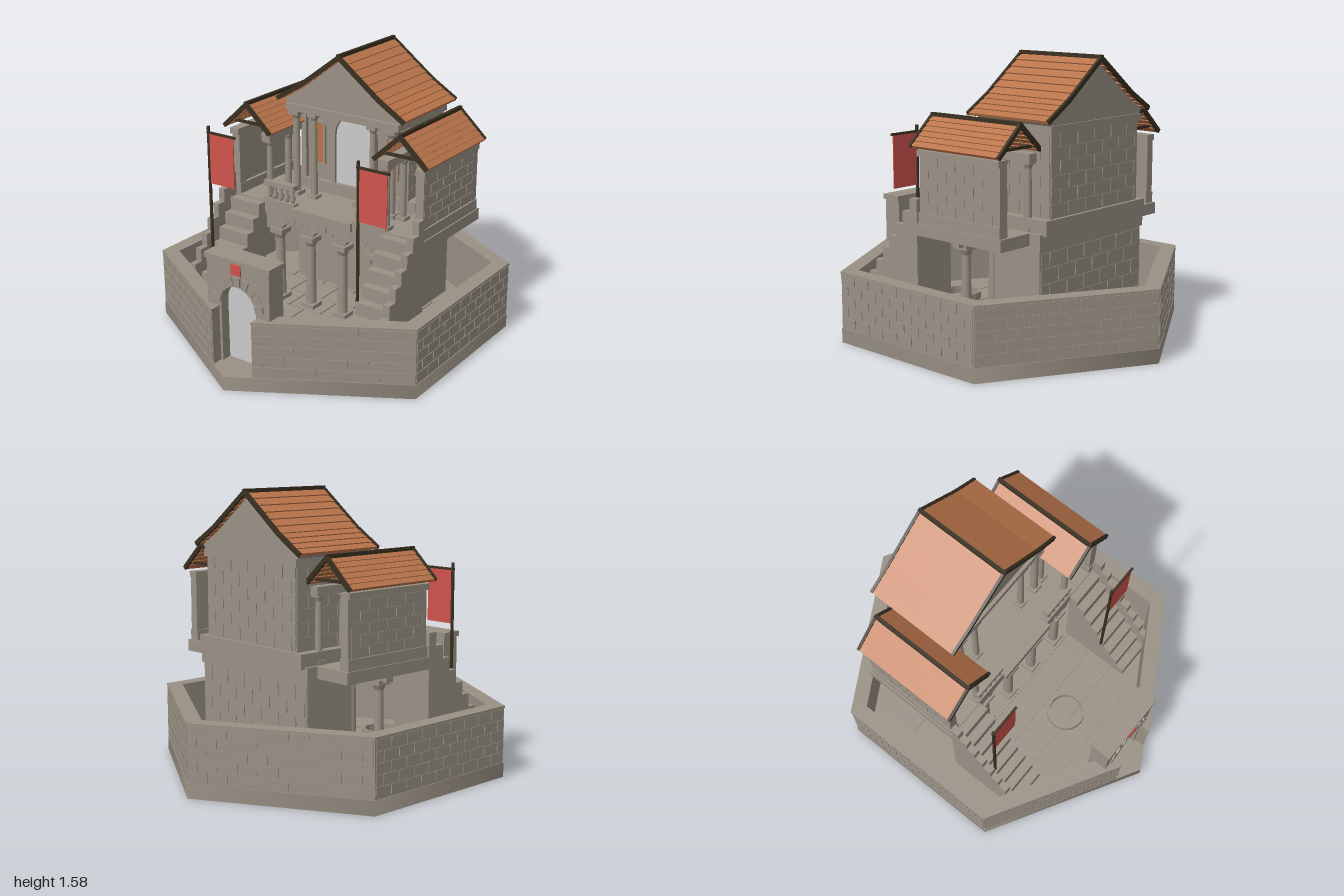
import * as THREE from 'three';
import { mergeGeometries } from 'three/addons/utils/BufferGeometryUtils.js';

const mat = (name, color) => {
  const m = new THREE.MeshStandardMaterial({ color });
  m.name = name;
  return m;
};

export function createModel() {
  const root = new THREE.Group();
  root.name = 'walledTemple';
  const stone = mat('stone', 0x9a9185), tile = mat('roofTile', 0xb9744a), wood = mat('darkWood', 0x3a3021);
  const red = mat('redCloth', 0xcf534c), pale = mat('paleDoor', 0xcacacb);

  const add = (name, geo, m, x = 0, y = 0, z = 0, ry = 0) => {
    const mesh = new THREE.Mesh(geo, m);
    mesh.name = name;
    mesh.position.set(x, y, z);
    mesh.rotation.y = ry;
    root.add(mesh);
    return mesh;
  };
  // Box from its limits on each axis
  const box = (name, m, x0, x1, y0, y1, z0, z1) =>
    add(name, new THREE.BoxGeometry(Math.abs(x1 - x0), y1 - y0, z1 - z0), m, (x0 + x1) / 2, (y0 + y1) / 2, (z0 + z1) / 2);
  const extrude = (shape, depth) =>
    new THREE.ExtrudeGeometry(shape, { depth, bevelEnabled: false, curveSegments: 10 });
  const poly = (pts) => new THREE.Shape(pts.map(([x, y]) => new THREE.Vector2(x, y)));

  // Running-bond plates in the XY plane, facing +z
  const bricks = (w, h, rows, bw, t = 0.004) => {
    const parts = [], rh = h / rows, gap = 0.007;
    for (let r = 0; r < rows; r++) {
      for (let x = -w / 2 - (r % 2 ? bw / 2 : 0); x < w / 2 - 0.01; x += bw) {
        const a = Math.max(x, -w / 2), b = Math.min(x + bw, w / 2);
        if (b - a < 0.02) continue;
        const g = new THREE.BoxGeometry(b - a - gap, rh - gap, t);
        parts.push(g.translate((a + b) / 2, (r + 0.5) * rh, t / 2));
      }
    }
    return mergeGeometries(parts);
  };

  // Outline of a round-headed opening
  const arch = (Type, r, y0, top) => {
    const p = new Type();
    p.moveTo(-r, y0);
    p.lineTo(r, y0);
    p.lineTo(r, top - r);
    p.absarc(0, top - r, r, 0, Math.PI, false);
    p.lineTo(-r, y0);
    return p;
  };
  const frame = (r, y0, top, t) => {
    const s = arch(THREE.Shape, r + t, y0, top + t);
    s.holes.push(arch(THREE.Path, r, y0 + 0.002, top));
    return s;
  };

  // Round column with square base and capital
  const column = (name, x, z, y0, y1, r) => {
    const h = y1 - y0, w = r * 1.45;
    add(name, new THREE.CylinderGeometry(r * 0.85, r, h, 12), stone, x, y0 + h / 2, z);
    box(name + 'Base', stone, x - w, x + w, y0, y0 + r, z - w, z + w);
    add(name + 'Neck', new THREE.CylinderGeometry(r * 1.35, r * 0.85, r * 1.2, 12), stone, x, y1 - r * 1.5, z);
    box(name + 'Capital', stone, x - w, x + w, y1 - r, y1, z - w, z + w);
  };

  // --- Hexagonal base and surrounding wall, open at the front corner
  add('base', new THREE.CylinderGeometry(1, 1, 0.08, 6), stone, 0, 0.04, 0);
  const ring = (R, r) => {
    const c = Math.sqrt(3) / 2, n = 0.13, k = n / Math.sqrt(3);
    return poly([[n, k - R], [c * R, -R / 2], [c * R, R / 2], [0, R], [-c * R, R / 2], [-c * R, -R / 2], [-n, k - R],
      [-n, k - r], [-c * r, -r / 2], [-c * r, r / 2], [0, r], [c * r, r / 2], [c * r, -r / 2], [n, k - r]]);
  };
  add('outerWall', extrude(ring(0.995, 0.9), 0.32).rotateX(-Math.PI / 2), stone, 0, 0.07, 0);
  add('wallTop', extrude(ring(1, 0.9), 0.012).rotateX(-Math.PI / 2), stone, 0, 0.388, 0);
  for (let k = 0; k < 6; k++) {
    const a = (30 + 60 * k) * Math.PI / 180, off = k === 0 ? 0.075 : k === 5 ? -0.075 : 0;
    const d = 0.862;
    add('wallBricks', bricks(off ? 0.84 : 0.99, 0.3, 5, 0.11), stone,
      Math.sin(a) * d + Math.cos(a) * off, 0.088, Math.cos(a) * d - Math.sin(a) * off, a);
  }

  // --- Courtyard paving
  const slabs = [];
  for (let r = 0; r < 10; r++) {
    const z = -0.8 + r * 0.17;
    for (let i = -4; i <= 4; i++) {
      const x = i * 0.225 + (r % 2 ? 0.11 : 0);
      const ax = Math.abs(x) + 0.11, az = Math.abs(z) + 0.085;
      if (ax < 0.78 && az + ax / Math.sqrt(3) < 0.93)
        slabs.push(new THREE.BoxGeometry(0.217, 0.006, 0.162).translate(x, 0.083, z));
    }
  }
  add('paving', mergeGeometries(slabs), stone);

  // --- Round well in the yard
  const wellShape = new THREE.Shape().absarc(0, 0, 0.115, 0, Math.PI * 2);
  wellShape.holes.push(new THREE.Path().absarc(0, 0, 0.098, 0, Math.PI * 2));
  add('well', extrude(wellShape, 0.05).rotateX(-Math.PI / 2), stone, 0, 0.08, 0.43);

  // --- Gatehouse
  const gate = poly([[-0.205, 0.08], [0.205, 0.08], [0.205, 0.66], [-0.205, 0.66]]);
  gate.holes.push(arch(THREE.Path, 0.115, 0.081, 0.54));
  add('gatehouse', extrude(gate, 0.115), stone, 0, 0, 0.745);
  box('gateCap', stone, -0.215, 0.215, 0.66, 0.69, 0.74, 0.87);
  box('gateDoor', pale, -0.116, 0.116, 0.08, 0.542, 0.797, 0.803);
  box('gateSign', red, -0.032, 0.032, 0.61, 0.67, 0.87, 0.876);
  for (let i = 0; i < 9; i++) {
    const a = Math.PI * (i + 0.5) / 9;
    const v = add('gateArchStone', new THREE.BoxGeometry(0.055, 0.038, 0.014), stone,
      Math.cos(a) * 0.143, 0.425 + Math.sin(a) * 0.143, 0.863);
    v.rotation.z = a;
  }

  // --- Raised terrace on a front arcade and a rear block
  box('terrace', stone, -0.42, 0.42, 0.62, 0.69, -0.3, 0.11);
  box('terraceLip', stone, -0.2, 0.2, 0.64, 0.69, 0.1, 0.13);
  box('rearBlock', stone, -0.43, 0.43, 0.08, 0.6, -0.55, -0.24);
  box('rearBlockCap', stone, -0.44, 0.44, 0.6, 0.69, -0.56, -0.23);
  add('rearBlockBricks', bricks(0.85, 0.5, 6, 0.14), stone, 0, 0.09, -0.55, Math.PI);
  const arcade = new THREE.Shape();
  arcade.moveTo(-0.41, 0.52);
  for (const x of [-0.22, 0, 0.22]) {
    arcade.lineTo(x - 0.085, 0.52);
    arcade.absellipse(x, 0.52, 0.085, 0.065, Math.PI, 0, true);
  }
  arcade.lineTo(0.41, 0.52);
  arcade.lineTo(0.41, 0.62);
  arcade.lineTo(-0.41, 0.62);
  add('arcade', extrude(arcade, 0.05), stone, 0, 0, 0.045);
  for (const x of [-0.33, -0.11, 0.11, 0.33]) {
    column('arcadeColumn', x, 0.07, 0.08, 0.53, 0.03);
    for (const i of [-2, -1, 0, 1, 2]) {
      if (x > 0.3) continue;
      const a = Math.PI / 2 + i * 0.55;
      add('arcadeArchStone', new THREE.BoxGeometry(0.03, 0.04, 0.008), stone,
        x + 0.11 + Math.cos(a) * 0.1, 0.515 + Math.sin(a) * 0.085, 0.097).rotation.z = a - Math.PI / 2;
    }
  }

  // --- Roof of overlapping courses with dark trim; points run from ridge to eave
  const roof = (name, cx, pts, courses, z0, z1) => {
    const dz = z1 - z0, zc = (z0 + z1) / 2;
    for (const s of [-1, 1]) for (let i = 0; i < pts.length - 1; i++) {
      const [ax, ay] = pts[i], [bx, by] = pts[i + 1];
      const len = Math.hypot(bx - ax, by - ay), ang = Math.atan2(by - ay, bx - ax), n = courses[i];
      for (let k = 0; k < n; k++) {
        const t = (k + 0.5) / n;
        add(name + 'Course', new THREE.BoxGeometry(len / n * 1.15, 0.016, dz - 0.02), tile,
          cx + s * (ax + (bx - ax) * t), ay + (by - ay) * t - 0.014, zc).rotation.z = s * (ang + 0.12);
      }
      for (const z of [z0 + 0.008, z1 - 0.008])
        add(name + 'Trim', new THREE.BoxGeometry(len + 0.01, 0.024, 0.016), wood,
          cx + s * (ax + bx) / 2, (ay + by) / 2 - 0.01, z).rotation.z = s * ang;
    }
    box(name + 'Ridge', wood, cx - 0.01, cx + 0.01, pts[0][1] - 0.015, pts[0][1] + 0.006, z0, z1);
  };

  // --- Temple hall
  box('hallPlinth', stone, -0.42, 0.42, 0.68, 0.76, -0.585, -0.19);
  box('hall', stone, -0.366, 0.366, 0.76, 1.21, -0.566, -0.22);
  add('hallBackBricks', bricks(0.73, 0.44, 6, 0.14), stone, 0, 0.765, -0.566, Math.PI);
  box('entablature', stone, -0.38, 0.38, 1.2, 1.24, -0.58, -0.06);
  add('pediment', extrude(poly([[-0.37, 1.23], [0.37, 1.23], [0.395, 1.262], [0.26, 1.345], [0, 1.545],
    [-0.26, 1.345], [-0.395, 1.262]]), 0.49), stone, 0, 0, -0.57);
  roof('hallRoof', 0, [[0, 1.572], [0.265, 1.372], [0.42, 1.278]], [6, 4], -0.605, -0.035);
  add('hallDoor', extrude(arch(THREE.Shape, 0.13, 0.76, 1.19), 0.007), pale, 0, 0, -0.22);
  add('doorFrame', extrude(frame(0.13, 0.76, 1.185, 0.02), 0.025), stone, 0, 0, -0.22);

  for (const s of [-1, 1]) {
    const b = (name, m, x0, x1, ...r) => box(name, m, s * x0, s * x1, ...r);
    // Hall sides, windows and porch columns
    add('hallSideBricks', bricks(0.34, 0.44, 6, 0.14), stone, s * 0.366, 0.765, -0.393, s * Math.PI / 2);
    add('window', extrude(arch(THREE.Shape, 0.033, 0.86, 1.11), 0.007), tile, s * 0.25, 0, -0.22);
    add('windowFrame', extrude(frame(0.033, 0.86, 1.11, 0.01), 0.015), stone, s * 0.25, 0, -0.22);
    column('porchColumn', s * 0.325, -0.09, 0.69, 1.2, 0.023);
    column('porchColumn', s * 0.2, -0.09, 0.69, 1.2, 0.02);
    b('cornerPilaster', stone, 0.335, 0.37, 0.76, 1.2, -0.225, -0.195);

    // Balustrade
    b('balustradeRail', stone, 0.2, 0.415, 0.785, 0.815, 0.065, 0.11);
    b('balustradeFoot', stone, 0.2, 0.415, 0.69, 0.705, 0.065, 0.11);
    const prof = [[0.011, 0], [0.011, 0.01], [0.019, 0.03], [0.008, 0.06], [0.014, 0.085]].map(p => new THREE.Vector2(...p));
    for (let i = 0; i < 5; i++)
      add('baluster', new THREE.LatheGeometry(prof, 10), stone, s * (0.225 + i * 0.041), 0.702, 0.088);

    // Stairs with a stepped outer parapet
    for (let k = 0; k < 8; k++) {
      const z = 0.11 + 0.055 * k, top = 0.82 - 0.075 * k;
      b('step', stone, 0.41, 0.625, 0.08, top - 0.14, z, z + 0.055);
      b('stairParapet', stone, 0.62, 0.66, 0.08, top, z, z + 0.055);
    }

    // Wing: walkway with an outer wall, inner columns and its own roof
    b('wingFloor', stone, 0.36, 0.66, 0.625, 0.69, -0.49, 0.11);
    b('wingWall', stone, 0.61, 0.642, 0.69, 1.05, -0.46, 0.1);
    b('wingWallFoot', stone, 0.59, 0.652, 0.69, 0.75, -0.475, 0.105);
    b('wingWallCap', stone, 0.595, 0.655, 1.05, 1.085, -0.475, 0.11);
    add('wingBricks', bricks(0.55, 0.3, 5, 0.13), stone, s * 0.642, 0.75, -0.18, s * Math.PI / 2);
    for (const z of [-0.45, 0.07]) b('wingPier', stone, 0.595, 0.645, 0.69, 1.06, z - 0.025, z + 0.03);
    for (const z of [-0.44, -0.27, -0.1, 0.07]) column('wingColumn', s * 0.395, z, 0.69, 1.06, 0.021);
    b('wingBeam', stone, 0.365, 0.425, 1.05, 1.095, -0.475, 0.11);
    for (const z of [-0.46, 0.09]) b('wingTie', wood, 0.39, 0.63, 1.125, 1.14, z - 0.008, z + 0.008);
    roof('wingRoof', s * 0.512, [[0, 1.262], [0.16, 1.115]], [6], -0.5, 0.14);

    // Banner on a pole
    const px = s < 0 ? -0.595 : 0.41;
    add('bannerPole', new THREE.CylinderGeometry(0.009, 0.009, 0.84, 8), wood, px, 0.75, 0.365);
    box('bannerBar', wood, px - 0.01, px + 0.19, 1.128, 1.14, 0.359, 0.371);
    box('banner', red, px + 0.005, px + 0.177, 0.835, 1.13, 0.362, 0.368);
  }
  return root;
}
